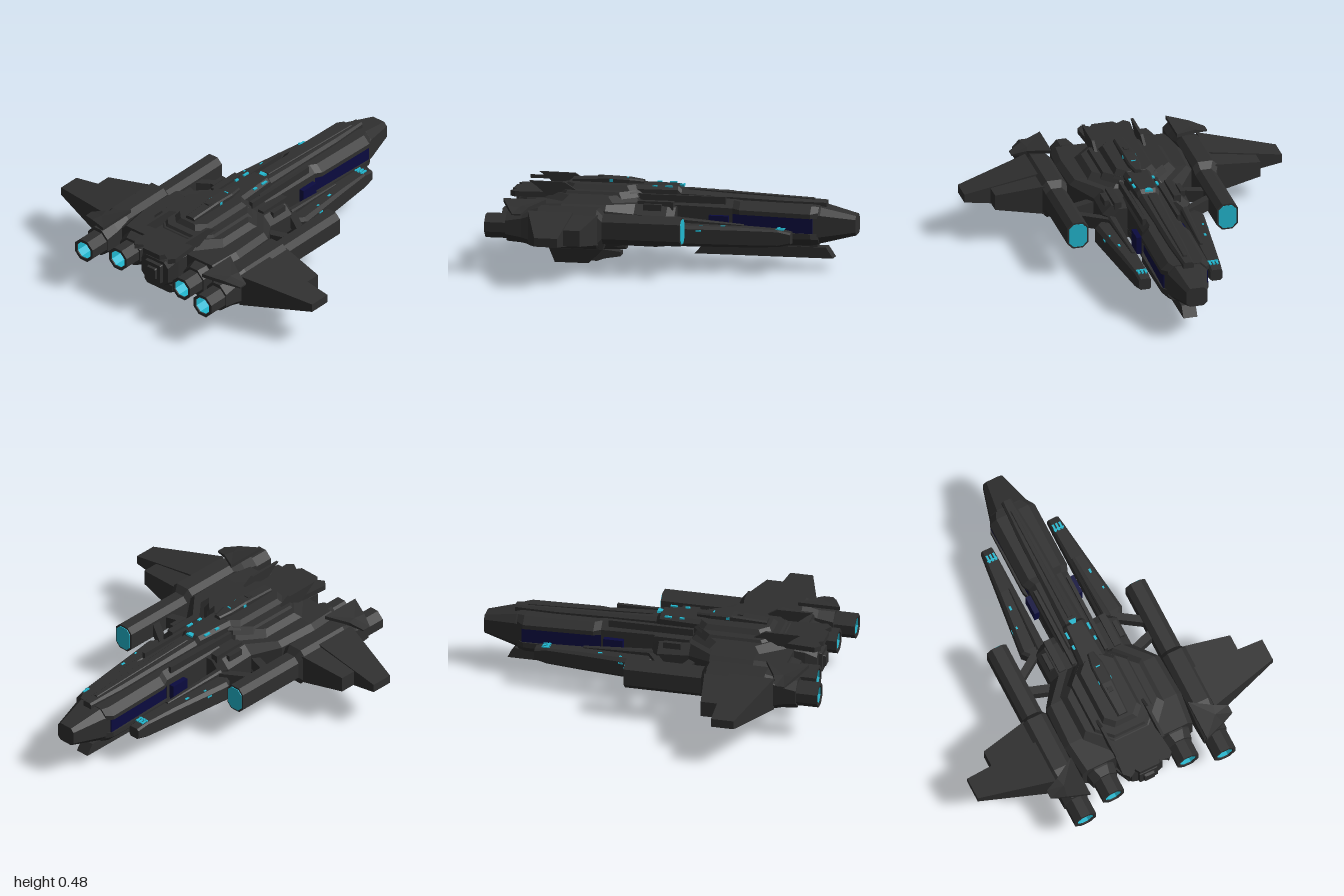
import * as THREE from 'three';

const mat = (name, color, extra = {}) =>
  Object.assign(new THREE.MeshStandardMaterial({ color, flatShading: true, ...extra }), { name });

export function createModel() {
  const hull = mat('charcoal hull', 0x2f2f2f);
  const glow = mat('cyan glow', 0x22b8d0, { side: THREE.DoubleSide });
  const navy = mat('navy trench', 0x0b0b40);
  const model = new THREE.Group();

  const add = (name, geo, material = hull) => {
    const m = new THREE.Mesh(geo, material);
    m.name = name;
    model.add(m);
    return m;
  };

  // Skin a series of equal-length rings and cap both ends, facing outwards
  const loft = (rings) => {
    const n = rings[0].length, pos = [], idx = [];
    rings.forEach((r) => r.forEach((p) => pos.push(...p)));
    for (let i = 0; i < rings.length - 1; i++)
      for (let j = 0; j < n; j++) {
        const a = i * n + j, b = i * n + (j + 1) % n;
        idx.push(a, b, b + n, a, b + n, a + n);
      }
    [0, rings.length - 1].forEach((k) => {
      const c = pos.length / 3;
      pos.push(...[0, 1, 2].map((d) => rings[k].reduce((s, p) => s + p[d], 0) / n));
      for (let j = 0; j < n; j++) {
        const a = k * n + j, b = k * n + (j + 1) % n;
        if (k) idx.push(c, a, b); else idx.push(c, b, a);
      }
    });
    let volume = 0;
    const v = (i) => new THREE.Vector3().fromArray(pos, i * 3);
    for (let i = 0; i < idx.length; i += 3)
      volume += v(idx[i]).dot(v(idx[i + 1]).cross(v(idx[i + 2])));
    if (volume < 0) idx.reverse();
    const g = new THREE.BufferGeometry();
    g.setAttribute('position', new THREE.Float32BufferAttribute(pos, 3));
    g.setIndex(idx);
    const flat = g.toNonIndexed();
    flat.computeVertexNormals();
    return flat;
  };

  // Chamfered box section: z, x range, y range, top and bottom chamfer
  const sec = (s, [z, x0, x1, y0, y1, t = 0.02, b = t]) => [
    [x0 + b, y0], [x1 - b, y0], [x1, y0 + b], [x1, y1 - t],
    [x1 - t, y1], [x0 + t, y1], [x0, y1 - t], [x0, y0 + b],
  ].map(([x, y]) => [s * x, y, z]);
  const body = (name, list, material, s = 1) => add(name, loft(list.map((l) => sec(s, l))), material);
  const mid = (name, list, material) =>
    body(name, list.map(([z, hw, ...r]) => [z, -hw, hw, ...r]), material);
  const box = (name, x0, x1, y0, y1, z0, z1, material) => {
    const g = new THREE.BoxGeometry(Math.abs(x1 - x0), y1 - y0, z1 - z0);
    g.translate((x0 + x1) / 2, (y0 + y1) / 2, (z0 + z1) / 2);
    return add(name, g, material);
  };
  // Vertical fin from a (z, y) outline, with half widths per point
  const fin = (name, x, outline, w) =>
    add(name, loft([-w, w].map((d) => outline.map(([z, y]) => [x + d, y, z]))));

  // Nose and long forward hull, split by a side trench
  mid('nose', [[-1, 0.06, 0.2, 0.31, 0.02], [-0.81, 0.11, 0.155, 0.355, 0.04], [-0.75, 0.125, 0.15, 0.36, 0.05]]);
  mid('upperHull', [[-0.8, 0.11, 0.3, 0.36, 0.03, 0], [-0.76, 0.138, 0.3, 0.365, 0.04, 0],
    [-0.36, 0.138, 0.31, 0.375, 0.04, 0], [-0.32, 0.12, 0.31, 0.38, 0.04, 0], [0.1, 0.12, 0.31, 0.39, 0.04, 0]]);
  mid('lowerHull', [[-0.8, 0.11, 0.15, 0.215, 0, 0.03], [-0.76, 0.135, 0.145, 0.215, 0, 0.04],
    [-0.36, 0.135, 0.14, 0.22, 0, 0.04], [-0.32, 0.12, 0.14, 0.22, 0, 0.04], [0.1, 0.12, 0.14, 0.22, 0, 0.04]]);
  mid('trenchCore', [[-0.77, 0.128, 0.2, 0.32, 0], [-0.32, 0.116, 0.2, 0.32, 0]], navy);
  mid('rearCore', [[-0.32, 0.119, 0.2, 0.32, 0], [0.1, 0.119, 0.2, 0.32, 0]]);
  mid('spine', [[-0.83, 0.03, 0.35, 0.385, 0.01, 0], [-0.6, 0.045, 0.35, 0.395, 0.015, 0],
    [-0.3, 0.05, 0.35, 0.405, 0.015, 0], [-0.02, 0.06, 0.35, 0.42, 0.02, 0], [0, 0.065, 0.35, 0.44, 0.02, 0],
    [0.25, 0.08, 0.35, 0.44, 0.02, 0]]);
  mid('spineRidge', [[-0.76, 0.012, 0.38, 0.396, 0.004, 0], [-0.05, 0.015, 0.4, 0.427, 0.004, 0]]);
  fin('keelRail', 0, [[-0.87, 0.065], [-0.09, 0.065], [-0.13, 0.11], [-0.2, 0.125], [-0.83, 0.125]], 0.04);
  box('keelMount', -0.03, 0.03, 0.11, 0.16, -0.78, -0.2);

  // Wide rear body, deck tiers and belly
  mid('mainBody', [[-0.01, 0.21, 0.16, 0.34, 0.05], [0.03, 0.25, 0.15, 0.35, 0.05], [0.21, 0.25, 0.15, 0.36, 0.05],
    [0.35, 0.35, 0.15, 0.37, 0.03], [0.6, 0.36, 0.15, 0.37, 0.03], [0.78, 0.34, 0.16, 0.36, 0.03]]);
  // Octagonal deck tier: z range, half width, inset at corners, y range, slope
  const tier = (name, z0, z1, hw, cut, y0, y1, slope) => add(name, loft([[y0, 0], [y1, slope]].map(([y, d]) => {
    const w = hw - d, a = z0 + d, b = z1 - d, c = w - cut;
    return [[-c, y, a], [c, y, a], [w, y, a + cut], [w, y, b - cut], [c, y, b], [-c, y, b], [-w, y, b - cut], [-w, y, a + cut]];
  })));
  tier('lowerDeck', 0.2, 0.74, 0.26, 0.12, 0.36, 0.4, 0.04);
  tier('middleDeck', 0.21, 0.7, 0.19, 0.08, 0.38, 0.415, 0.02);
  tier('upperDeck', 0.2, 0.65, 0.13, 0.05, 0.4, 0.442, 0.03);
  mid('bridge', [[0.2, 0.02, 0.43, 0.46, 0.008, 0], [0.28, 0.036, 0.43, 0.468, 0.008, 0],
    [0.4, 0.036, 0.43, 0.472, 0.008, 0], [0.6, 0.03, 0.43, 0.46, 0.008, 0]]);
  box('bridgeHatch', -0.014, 0.014, 0.46, 0.476, 0.43, 0.46);
  mid('tailBlock', [[0.6, 0.14, 0.17, 0.39, 0.03], [0.7, 0.145, 0.17, 0.395, 0.03], [0.84, 0.12, 0.18, 0.37, 0.03],
    [0.9, 0.095, 0.185, 0.335, 0.03]]);
  add('tailRoof', loft([0.365, 0.395].map((y) =>
    [[-0.13, 0.66], [0.13, 0.66], [0.15, 0.9], [0.12, 0.93], [0.09, 0.88], [0.06, 0.93], [-0.06, 0.93], [-0.09, 0.88], [-0.12, 0.93], [-0.15, 0.9]]
      .map(([x, z]) => [x, y, z]))));
  mid('tailHatch', [[0.88, 0.06, 0.195, 0.32, 0.004], [0.92, 0.055, 0.2, 0.315, 0.004]]);
  mid('tailHatchCore', [[0.91, 0.035, 0.22, 0.295, 0.004], [0.935, 0.03, 0.225, 0.29, 0.004]]);
  mid('belly', [[0.0, 0.08, 0.11, 0.17, 0, 0.02], [0.12, 0.1, 0.1, 0.17, 0, 0.02], [0.3, 0.15, 0.11, 0.17, 0, 0.03],
    [0.4, 0.18, 0.09, 0.17, 0, 0.03], [0.68, 0.18, 0.09, 0.17, 0, 0.03], [0.87, 0.1, 0.13, 0.18, 0, 0.02]]);
  mid('bellyKeel', [[0.3, 0.035, 0.07, 0.11, 0, 0.01], [0.45, 0.05, 0.065, 0.11, 0, 0.02], [0.72, 0.04, 0.08, 0.11, 0, 0.01]]);
  fin('ventralFin', 0, [[0.33, 0.03], [0.42, 0.015], [0.46, 0], [0.61, 0], [0.57, 0.08], [0.33, 0.055]], 0.035);

  for (const s of [1, -1]) {
    const side = s > 0 ? 'left' : 'right';
    const part = (name, list, material) => body(side + name, list, material, s);
    const plate = (name, x0, x1, y0, y1, z0, z1, m = glow) => box(side + name, s * x0, s * x1, y0, y1, z0, z1, m);

    // Forward booms
    part('Boom', [[-0.67, 0.17, 0.238, 0.17, 0.235, 0.01], [-0.6, 0.17, 0.245, 0.155, 0.25, 0.01],
      [-0.4, 0.17, 0.268, 0.15, 0.26, 0.015], [-0.03, 0.17, 0.312, 0.15, 0.27, 0.02], [0.02, 0.17, 0.27, 0.15, 0.27, 0.02]]);
    part('BoomRidge', [[-0.4, 0.185, 0.205, 0.24, 0.268, 0.004], [0.0, 0.185, 0.23, 0.24, 0.3, 0.01]]);
    for (let i = 0; i < 3; i++) plate('BoomLight', 0.178 + i * 0.02, 0.19 + i * 0.02, 0.247, 0.254, -0.63, -0.585);
    plate('BoomBar', 0.175, 0.235, 0.25, 0.256, -0.6, -0.592);
    plate('BoomLamp', 0.24, 0.252, 0.259, 0.266, -0.305, -0.28);
    plate('BoomLamp', 0.262, 0.272, 0.262, 0.269, -0.18, -0.165);
    plate('SideLamp', 0.285, 0.298, 0.235, 0.245, -0.18, -0.15);
    plate('TrenchBlock', 0.1, 0.148, 0.2, 0.3, -0.3, -0.19, navy);
    for (const [a, b] of [[0.03, 0.07], [0.115, 0.14]]) plate('DeckLamp', 0.06, 0.073, 0.436, 0.444, a, b);
    plate('BridgeLamp', 0.034, 0.039, 0.447, 0.462, 0.37, 0.39);
    plate('DeckRail', 0.09, 0.11, 0.36, 0.4, -0.28, 0.2, hull);
    plate('DeckBox', 0.15, 0.19, 0.33, 0.375, 0.0, 0.2, hull);
    plate('DeckBox', 0.205, 0.23, 0.33, 0.365, 0.06, 0.16, hull);

    // Diagonal struts joining body to pod
    for (const [za, zb] of [[-0.01, 0.11], [0.25, 0.19]])
      add(side + 'Strut', loft([[0.21, za], [0.39, zb]].map(([x, z]) =>
        [[0.22, -0.025], [0.22, 0.025], [0.29, 0.025], [0.29, -0.025]].map(([y, d]) => [s * x, y, z + d]))));

    // Outer pod with glowing intake
    part('Pod', [[-0.1, 0.368, 0.488, 0.18, 0.335, 0.03], [0.34, 0.368, 0.488, 0.18, 0.335, 0.03],
      [0.37, 0.36, 0.505, 0.15, 0.37, 0.03], [0.7, 0.36, 0.505, 0.15, 0.37, 0.03],
      [0.79, 0.358, 0.5, 0.17, 0.345, 0.035], [0.88, 0.36, 0.5, 0.175, 0.34, 0.045]]);
    part('Intake', [[-0.104, 0.378, 0.478, 0.19, 0.325, 0.025], [-0.099, 0.378, 0.478, 0.19, 0.325, 0.025]], glow);
    part('InnerEngine', [[0.6, 0.15, 0.315, 0.16, 0.35, 0.03], [0.79, 0.152, 0.312, 0.16, 0.345, 0.04],
      [0.84, 0.158, 0.302, 0.175, 0.335, 0.045]]);

    // Octagonal nozzles, open at the back with a lit interior
    for (const [x, z0, z1] of [[0.43, 0.86, 1], [0.23, 0.82, 0.945]]) {
      const oct = (r) => Array.from({ length: 8 }, (_, i) => {
        const a = (i + 0.5) * Math.PI / 4;
        return new THREE.Vector2(Math.cos(a) * r, Math.sin(a) * r);
      });
      const shape = new THREE.Shape(oct(0.07));
      shape.holes.push(new THREE.Path(oct(0.052).reverse()));
      const place = (m, z) => m.position.set(s * x, 0.255, z);
      place(add(side + 'Nozzle', new THREE.ExtrudeGeometry(shape, { depth: z1 - z0, bevelEnabled: false })), z0);
      const lining = new THREE.CylinderGeometry(0.0515, 0.0515, z1 - z0 - 0.015, 8, 1, true, Math.PI / 8);
      place(add(side + 'NozzleLining', lining.rotateX(Math.PI / 2), glow), (z0 + z1) / 2);
      place(add(side + 'NozzleGlow', new THREE.CircleGeometry(0.052, 8, Math.PI / 8), glow), z0 + 0.03);
      place(add(side + 'NozzleRing', new THREE.RingGeometry(0.026, 0.031, 8)), z0 + 0.035);
      place(add(side + 'NozzleHub', new THREE.CircleGeometry(0.01, 8)), z0 + 0.035);
    }

    // Tapered wing and its shorter leading panel
    const wing = (name, stations) => add(side + name, loft(stations.map(([x, a, b, y0, y1]) =>
      [[y0, a], [y1, a], [y1, b], [y0, b]].map(([y, z]) => [s * x, y, z]))));
    wing('Wing', [[0.49, 0.5, 0.755, 0.165, 0.355], [0.91, 0.5, 0.63, 0.235, 0.283]]);
    wing('WingFront', [[0.49, 0.36, 0.5, 0.175, 0.345], [0.76, 0.405, 0.5, 0.215, 0.303]]);

    // Sloping pod fin, raked antenna and lower fin
    add(side + 'PodFin', loft([0, 0.02].map((d) =>
      [[0.36, 0.68], [0.48, 0.75], [0.56, 0.78], [0.56, 0.83], [0.48, 0.87], [0.36, 0.92]]
        .map(([x, z]) => [s * x, 0.375 + d * (x < 0.5 ? 1 : 0.4) - (x - 0.36) * 0.18, z]))));
    fin(side + 'Antenna', s * 0.14, [[0.5, 0.38], [0.72, 0.38], [0.78, 0.43], [0.82, 0.457], [0.62, 0.455]], 0.008);
    add(side + 'LowerFin', loft([[0.17, 0.21, 0.28, 0.36, 0.7], [0.11, 0.218, 0.28, 0.38, 0.68], [0.03, 0.238, 0.268, 0.46, 0.65]]
      .map(([y, x0, x1, a, b]) => [[x0, a], [x1, a], [x1, b], [x0, b]].map(([x, z]) => [s * x, y, z]))));
  }

  // Centre line lights
  add('spineLamp', loft([0.432, 0.444].map((y) =>
    [[-0.022, -0.025], [0.022, -0.025], [0.012, 0.002], [-0.012, 0.002]].map(([x, z]) => [x, y, z]))), glow);
  box('bridgeLight', -0.012, 0.012, 0.466, 0.472, 0.29, 0.297, glow);
  return model;
}
